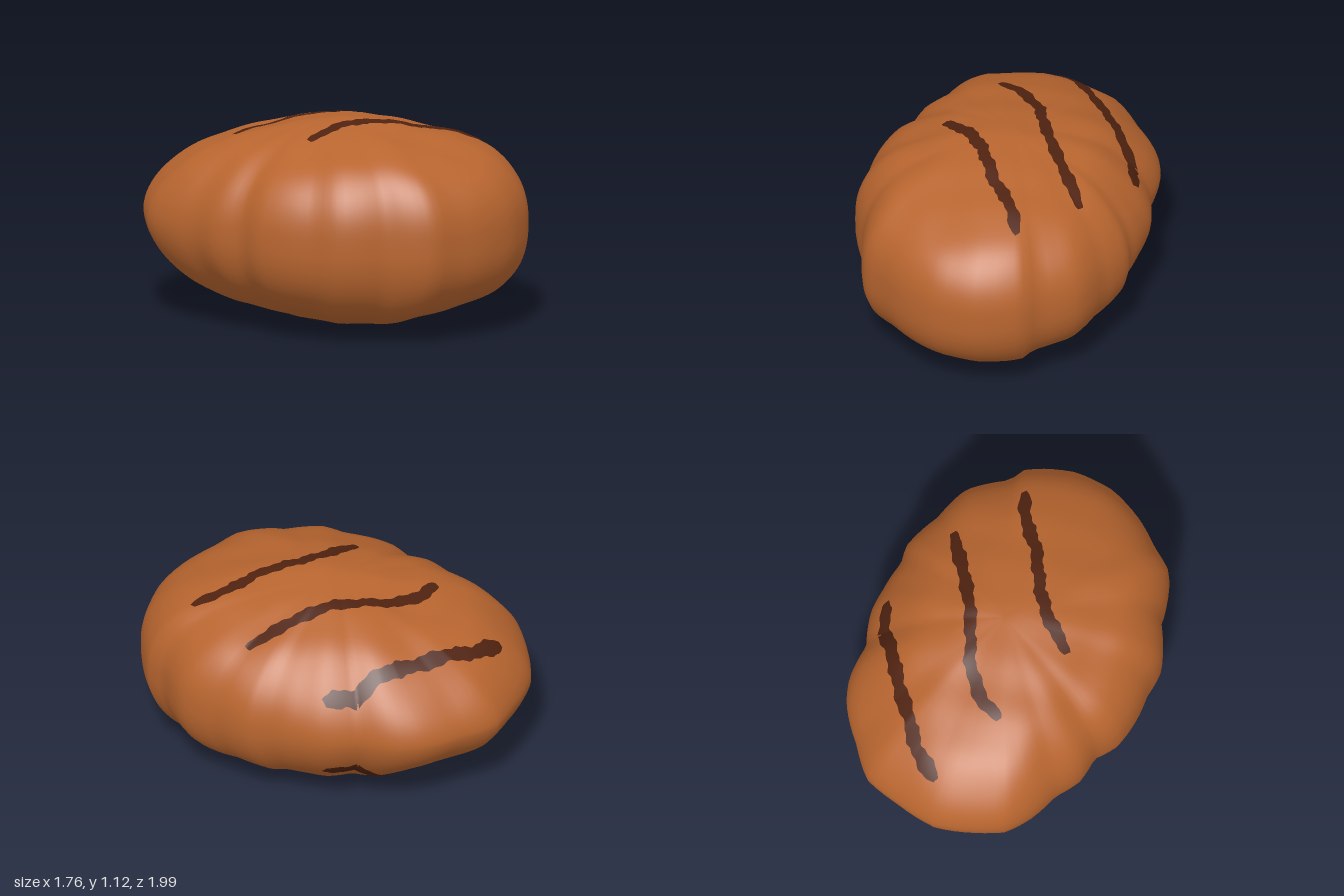
import * as THREE from 'three';

const MID = 0.553, HALF = 0.537;

// Plan outline of the patty as x, z pairs
const OUTLINE = [
  -0.26, -1, -0.06, -0.95, 0.17, -0.88, 0.28, -0.8, 0.39, -0.63, 0.55, -0.51, 0.62, -0.4, 0.7, -0.24,
  0.77, -0.17, 0.82, 0.05, 0.88, 0.26, 0.8, 0.5, 0.82, 0.58, 0.76, 0.7, 0.66, 0.83, 0.47, 0.95,
  0.25, 0.99, 0.08, 0.98, -0.07, 0.98, -0.17, 0.91, -0.27, 0.81, -0.49, 0.69, -0.57, 0.56, -0.74, 0.28,
  -0.74, 0.14, -0.82, 0, -0.83, -0.16, -0.88, -0.35, -0.88, -0.5, -0.8, -0.65, -0.67, -0.82, -0.45, -0.93,
];

// Outline radius for a direction, interpolated between the outline points
const polar = [];
for (let i = 0; i < OUTLINE.length; i += 2) {
  const x = OUTLINE[i], z = OUTLINE[i + 1];
  polar.push([Math.atan2(z, x), Math.hypot(x, z)]);
}
polar.sort((a, b) => a[0] - b[0]);
const first = polar[0], last = polar[polar.length - 1];
polar.unshift([last[0] - 2 * Math.PI, last[1]]);
polar.push([first[0] + 2 * Math.PI, first[1]]);

function outlineRadius(angle) {
  const t = Math.atan2(Math.sin(angle), Math.cos(angle));
  let k = 1;
  while (k < polar.length - 1 && polar[k][0] < t) k++;
  const [a0, r0] = polar[k - 1], [a1, r1] = polar[k];
  return r0 + (r1 - r0) * (t - a0) / (a1 - a0);
}

// Blunt at the front, tapering at the back
const power = (angle) => 2.15 + 0.45 * Math.sin(angle);

// Half thickness of the lumpy body above or below its middle
function thickness(x, z) {
  const angle = Math.atan2(z, x), n = power(angle);
  const r = Math.min(1, Math.hypot(x, z) / outlineRadius(angle));
  const lumps = 0.011 * Math.sin(7 * x + 3 * z + 1) + 0.009 * Math.sin(9 * z - 5 * x)
    + 0.005 * Math.sin(17 * x + 2) * Math.sin(15 * z);
  return HALF * Math.pow(Math.max(0, 1 - Math.pow(r, n)), 1 / n) + lumps * (1 - r ** 6);
}

function makeGeometry(positions, indices) {
  const g = new THREE.BufferGeometry();
  g.setAttribute('position', new THREE.Float32BufferAttribute(positions, 3));
  g.setIndex(indices);
  g.computeVertexNormals();
  return g;
}

// Closed body: rings from the top pole to the bottom pole
function bodyGeometry() {
  const around = 120, rings = 60, pos = [], idx = [];
  pos.push(0, MID + thickness(0, 0), 0);
  for (let j = 1; j < rings; j++) {
    const phi = Math.PI * j / rings;
    for (let i = 0; i < around; i++) {
      const t = 2 * Math.PI * i / around;
      const r = outlineRadius(t) * Math.pow(Math.sin(phi), 2 / power(t));
      const x = r * Math.cos(t), z = r * Math.sin(t);
      const side = j * 2 === rings ? 0 : Math.sign(rings / 2 - j);
      pos.push(x, MID + side * thickness(x, z), z);
    }
  }
  pos.push(0, MID - thickness(0, 0), 0);
  const end = pos.length / 3 - 1;
  const at = (j, i) => j === 0 ? 0 : j === rings ? end : 1 + (j - 1) * around + i % around;
  for (let j = 0; j < rings; j++) {
    for (let i = 0; i < around; i++) {
      const a = at(j, i), b = at(j, i + 1), c = at(j + 1, i), d = at(j + 1, i + 1);
      if (j > 0) idx.push(a, b, c);
      if (j < rings - 1) idx.push(b, d, c);
    }
  }
  return makeGeometry(pos, idx);
}

// Ragged char strip laid on the top (side 1) or bottom (side -1)
function markGeometry(points, side) {
  const curve = new THREE.CatmullRomCurve3(points.map(([x, z]) => new THREE.Vector3(x, 0, z)));
  const along = 90, across = 6, pos = [], idx = [];
  for (let i = 0; i <= along; i++) {
    const u = i / along, p = curve.getPoint(u);
    const taper = Math.min(1, 0.45 + 12 * Math.min(u, 1 - u));
    const up = taper * (0.036 + 0.006 * Math.sin(31 * u + p.z * 9) + 0.004 * Math.sin(83 * u));
    const down = taper * (0.036 + 0.006 * Math.sin(37 * u + 2 + p.z * 5) + 0.004 * Math.sin(97 * u));
    for (let j = 0; j <= across; j++) {
      const z = p.z - up + (up + down) * j / across;
      pos.push(p.x, MID + side * (thickness(p.x, z) + 0.006), z);
      if (i < along && j < across) {
        const a = i * (across + 1) + j, b = a + across + 1, c = a + 1, d = b + 1;
        if (side > 0) idx.push(a, c, b, b, c, d);
        else idx.push(a, b, c, b, d, c);
      }
    }
  }
  return makeGeometry(pos, idx);
}

const MARKS = {
  back: [[-0.53, -0.73], [-0.35, -0.74], [-0.2, -0.7], [0, -0.65], [0.15, -0.6], [0.35, -0.54], [0.49, -0.45]],
  middle: [[-0.46, -0.3], [-0.3, -0.32], [-0.12, -0.28], [0, -0.21], [0.15, -0.13], [0.3, -0.07], [0.45, -0.02], [0.61, 0.03]],
  front: [[-0.33, 0.2], [-0.15, 0.2], [0, 0.23], [0.12, 0.28], [0.28, 0.35], [0.42, 0.38], [0.61, 0.47]],
};

export function createModel() {
  const group = new THREE.Group();
  group.name = 'grilledPatty';
  const meat = new THREE.MeshStandardMaterial({ color: 0xb8652f });
  meat.name = 'cooked meat brown';
  const char = new THREE.MeshStandardMaterial({ color: 0x4f2210 });
  char.name = 'char brown';

  const add = (name, geometry, material) => {
    const mesh = new THREE.Mesh(geometry, material);
    mesh.name = name;
    group.add(mesh);
  };
  add('pattyBody', bodyGeometry(), meat);
  for (const [place, points] of Object.entries(MARKS)) {
    add(`${place}GrillMarkTop`, markGeometry(points, 1), char);
    add(`${place}GrillMarkBottom`, markGeometry(points, -1), char);
  }
  return group;
}
